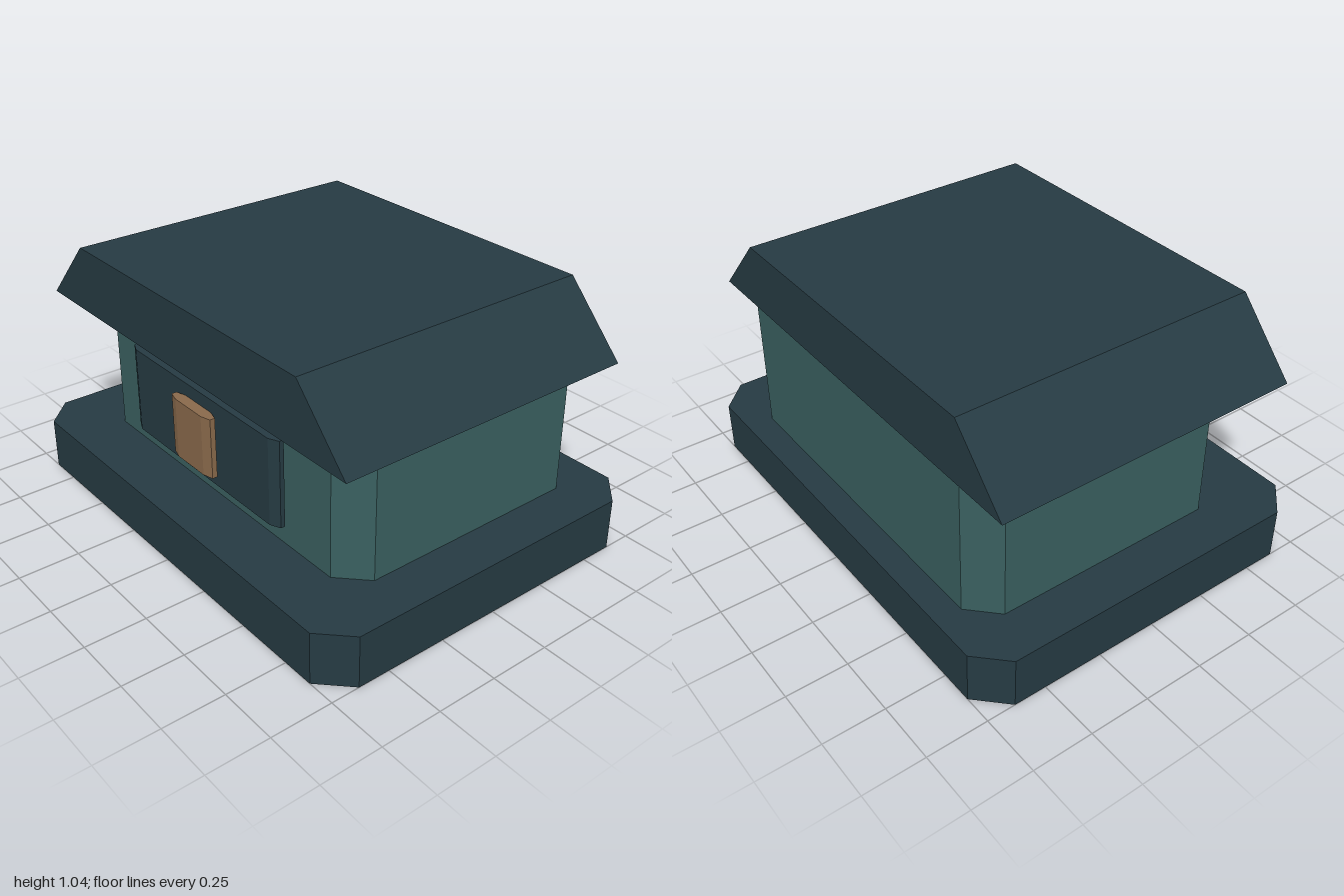
import * as THREE from 'three';

const mat = (name, color) => {
  const m = new THREE.MeshStandardMaterial({ color });
  m.name = name;
  return m;
};

// Extrude a closed outline of [x, y] corners to a given depth, starting at 0
function extrude(corners, depth) {
  const shape = new THREE.Shape(corners.map(([x, y]) => new THREE.Vector2(x, y)));
  return new THREE.ExtrudeGeometry(shape, { depth, bevelEnabled: false });
}

// Upright block whose four vertical corners are cut by cx along x and cz along z
function cutBlock(name, material, [x0, x1], [y0, y1], [z0, z1], cx, cz) {
  const w = (x1 - x0) / 2, d = (z1 - z0) / 2;
  const geo = extrude([
    [-w + cx, -d], [w - cx, -d], [w, -d + cz], [w, d - cz],
    [w - cx, d], [-w + cx, d], [-w, d - cz], [-w, -d + cz],
  ], y1 - y0);
  geo.rotateX(-Math.PI / 2);
  const mesh = new THREE.Mesh(geo, material);
  mesh.name = name;
  mesh.position.set((x0 + x1) / 2, y0, (z0 + z1) / 2);
  return mesh;
}

export function createModel() {
  const slate = mat('dark slate', 0x263b43);
  const teal = mat('muted teal', 0x3a6060);
  const bronze = mat('bronze', 0x8a6a4c);

  const model = new THREE.Group();
  model.name = 'hut';

  // Plinth and walls
  model.add(cutBlock('base', slate, [-1, 1], [0, 0.215], [-0.75, 0.75], 0.117, 0.117));
  model.add(cutBlock('walls', teal, [-0.805, 0.805], [0.215, 0.777], [-0.64, 0.51], 0.11, 0.108));

  // Roof with sloping sides and upright gables
  const roofGeo = extrude([[-0.935, 0.777], [0.935, 0.777], [0.685, 1.044], [-0.685, 1.044]], 1.29);
  const roof = new THREE.Mesh(roofGeo, slate);
  roof.name = 'roof';
  roof.position.z = -0.645;
  model.add(roof);

  // Front panel, standing just clear of the wall, with its plaque
  model.add(cutBlock('frontPanel', slate, [-0.475, 0.475], [0.322, 0.68], [0.52, 0.576], 0.042, 0.019));
  model.add(cutBlock('plaque', bronze, [-0.127, 0.127], [0.376, 0.626], [0.576, 0.621], 0.043, 0.012));

  return model;
}
